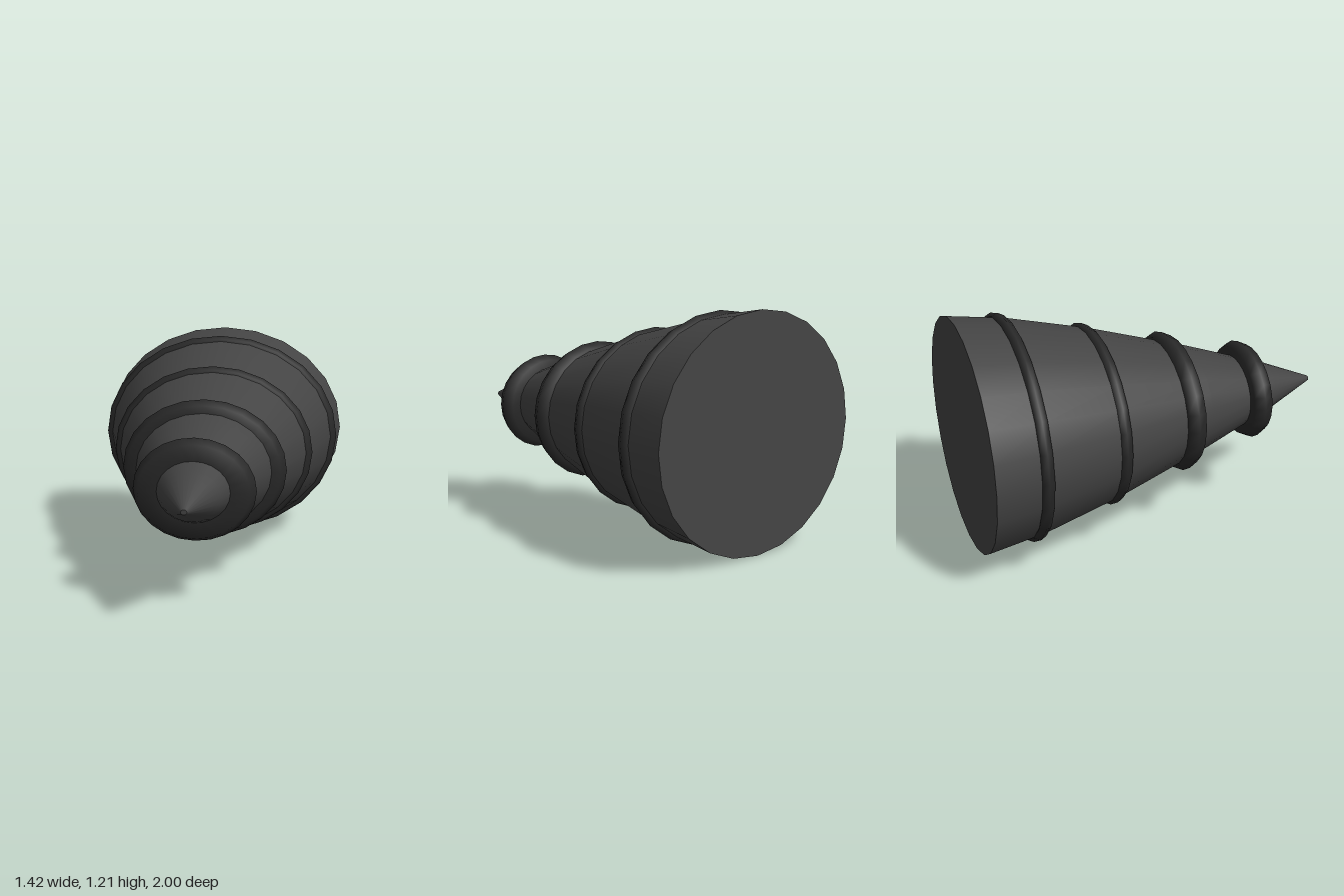
import * as THREE from 'three';

const SIDES = 24;
const SQUASH = 0.852; // height of the oval section relative to its width
const CENTRE_Y = 0.605;

export function createModel() {
  const group = new THREE.Group();
  group.name = 'ringedCone';
  const bodyGrey = new THREE.MeshStandardMaterial({ color: 0x444444 });
  bodyGrey.name = 'body grey';
  const ringGrey = new THREE.MeshStandardMaterial({ color: 0x292929 });
  ringGrey.name = 'ring dark grey';

  const add = (name, geometry, material) => {
    geometry.scale(1, SQUASH, 1).translate(0, CENTRE_Y, 0);
    const mesh = new THREE.Mesh(geometry, material);
    mesh.name = name;
    group.add(mesh);
  };

  // Profile points are [radius, z], from back to front
  const turned = (points) =>
    new THREE.LatheGeometry(points.map(([r, z]) => new THREE.Vector2(r, z)), SIDES)
      .rotateX(Math.PI / 2);

  // Tapering oval shell
  add('coneShell', turned([
    [0.71, -1], [0.655, -0.7], [0.53, -0.27], [0.335, 0.27], [0.148, 0.73], [0.015, 1],
  ]), bodyGrey);

  // Flat ends
  add('backCap', new THREE.CircleGeometry(0.71, SIDES).rotateY(Math.PI).translate(0, 0, -1), bodyGrey);
  add('tipCap', new THREE.CircleGeometry(0.015, SIDES).translate(0, 0, 1), bodyGrey);

  // Raised bands: [z, peak radius, half width, bevel drop, inner radius]
  const rings = [
    [0.59, 0.31, 0.052, 0.03, 0.17],
    [0.15, 0.437, 0.05, 0.029, 0.32],
    [-0.29, 0.56, 0.032, 0.019, 0.48],
    [-0.735, 0.69, 0.031, 0.018, 0.61],
  ];
  rings.forEach(([z, peak, half, drop, inner], i) => {
    add(`ring${i + 1}`, turned([
      [inner, z - half], [peak - drop, z - half], [peak, z],
      [peak - drop, z + half], [inner, z + half],
    ]), ringGrey);
  });

  return group;
}
